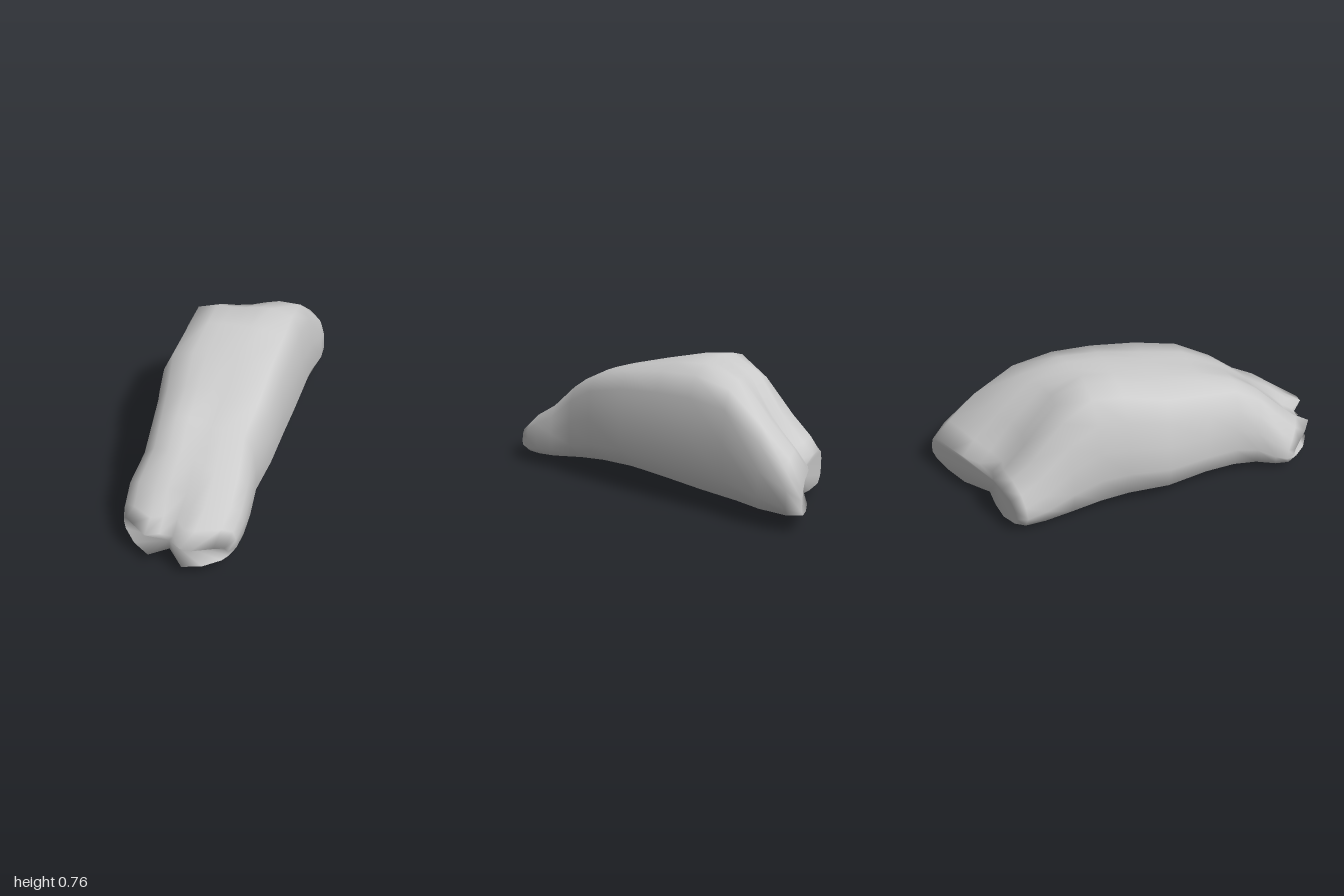
import * as THREE from 'three';

// Stations along the boulder: [u, left v, right v, left top, right top, bottom]
const STATIONS = [
  [-0.91, -0.46, 0.26, 0.28, 0.26, 0.06],
  [-0.84, -0.475, 0.29, 0.34, 0.37, 0.03],
  [-0.70, -0.465, 0.305, 0.44, 0.53, 0.01],
  [-0.50, -0.45, 0.285, 0.66, 0.69, 0.00],
  [-0.30, -0.44, 0.285, 0.79, 0.73, 0.01],
  [-0.10, -0.44, 0.285, 0.76, 0.72, 0.03],
  [0.15, -0.46, 0.28, 0.69, 0.69, 0.05],
  [0.40, -0.405, 0.27, 0.63, 0.63, 0.05],
  [0.60, -0.37, 0.235, 0.61, 0.52, 0.03],
  [0.76, -0.37, 0.245, 0.52, 0.37, 0.02],
  [0.90, -0.40, 0.24, 0.35, 0.29, 0.02],
  [1.00, -0.41, 0.23, 0.26, 0.23, 0.03],
  [1.08, -0.39, 0.21, 0.20, 0.17, 0.06],
];

// Cross-section: [s across, h up], left base over the top to right base
const SECTION = [
  [-0.68, 0.03], [-0.93, 0.11], [-1, 0.32], [-0.97, 0.55], [-0.88, 0.77], [-0.7, 0.94],
  [-0.4, 0.99], [-0.18, 1], [0.05, 1], [0.25, 1], [0.45, 1], [0.79, 0.96], [0.94, 0.81],
  [0.99, 0.55], [1, 0.28], [0.9, 0.14], [0.62, 0.07], [0.28, 0.03], [-0.05, 0], [-0.36, 0],
];

const bell = (x, centre, width) => Math.exp(-(((x - centre) / width) ** 2));

// Slanted, notched outline of the two ends
const backSkew = (s) => 0.015 - 0.17 * s + 0.08 * bell(s, -0.1, 0.28);
const frontSkew = (s) => 0.08 + 0.05 * s - 0.17 * s * s - 0.12 * bell(s, -0.05, 0.2);

function surfacePoint(row, s, h) {
  const [u0, left, right, topL, topR, base] = row;
  const top = THREE.MathUtils.lerp(topL, topR, (s + 1) / 2);
  let u = u0;
  u += u0 < 0 ? backSkew(s) * Math.min(1, -u0 / 0.9) : frontSkew(s) * (u0 / 1.08) ** 3;
  let v = THREE.MathUtils.lerp(left, right, (s + 1) / 2);
  let y = base + (top - base) * h;
  // weathered lumps, stronger on the broken front slope
  const rough = 0.006 + 0.012 * bell(u0, 0.88, 0.2);
  const lump = Math.sin(u * 13 + v * 9) * Math.cos(y * 11 - u * 7 + s * 4);
  v += Math.sign(s) * rough * lump * h;
  y += rough * lump * h;
  // scoop between the back ridge and the low back lobe
  y -= 0.06 * bell(u0, -0.8, 0.12) * bell(s, -0.2, 0.3) * h;
  // groove down the front slope
  y -= 0.02 * bell(u0, 1.0, 0.12) * bell(s, -0.05, 0.3) * h;
  return [0.62 * u + 0.78 * v, y, 0.78 * u - 0.62 * v];
}

function boulderGeometry() {
  const n = SECTION.length;
  const last = STATIONS.length - 1;
  const positions = [];
  const index = [];
  for (const row of STATIONS) {
    for (const [s, h] of SECTION) positions.push(...surfacePoint(row, s, h));
  }
  for (let i = 0; i < last; i++) {
    for (let j = 0; j < n; j++) {
      const k = (j + 1) % n;
      const a = i * n + j, b = i * n + k, c = a + n, d = b + n;
      index.push(a, c, b, b, c, d);
    }
  }
  // end caps, slightly hollowed inward
  const back = positions.length / 3;
  positions.push(...surfacePoint([-0.89, ...STATIONS[0].slice(1)], -0.15, 0.5));
  positions.push(...surfacePoint([1.08, ...STATIONS[last].slice(1)], -0.05, 0.5));
  for (let j = 0; j < n; j++) {
    const k = (j + 1) % n;
    index.push(back, j, k, back + 1, last * n + k, last * n + j);
  }
  const geometry = new THREE.BufferGeometry();
  geometry.setAttribute('position', new THREE.Float32BufferAttribute(positions, 3));
  geometry.setIndex(index);
  geometry.computeVertexNormals();
  return geometry;
}

export function createModel() {
  const stone = new THREE.MeshStandardMaterial({ color: 0xcccccc });
  stone.name = 'pale stone';
  const boulder = new THREE.Mesh(boulderGeometry(), stone);
  boulder.name = 'boulder';
  const group = new THREE.Group();
  group.name = 'rock';
  group.add(boulder);
  return group;
}
